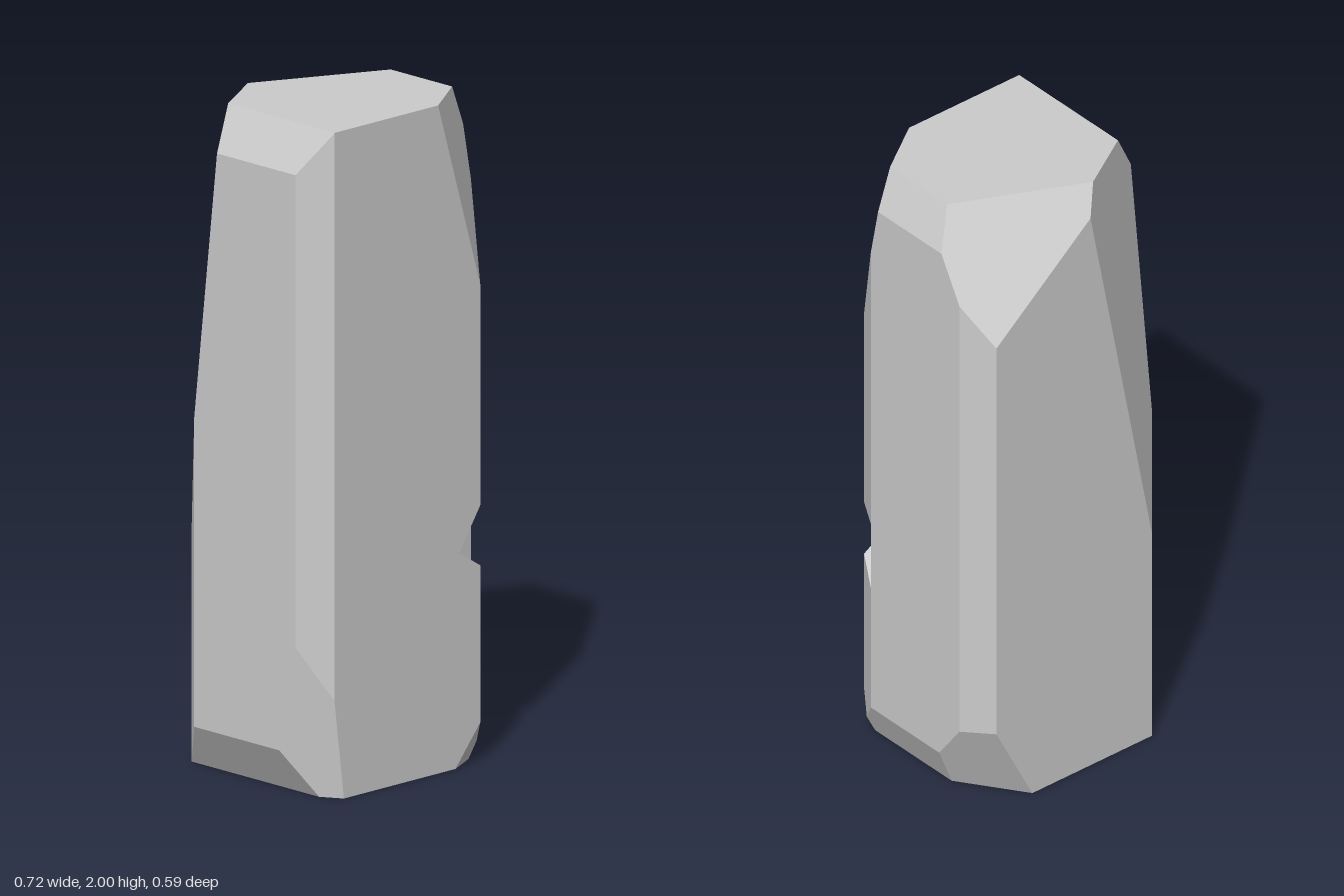
import * as THREE from 'three';

const V = (p) => new THREE.Vector3(...p);

// plane through three points, its normal pointing away from an inner point
function planeOf([a, b, c], inner) {
  const plane = new THREE.Plane().setFromCoplanarPoints(V(a), V(b), V(c));
  return plane.distanceToPoint(inner) > 0 ? plane.negate() : plane;
}

// keep the part of a polygon behind (side 1) or before (side -1) a plane
function clip(poly, plane, side = 1) {
  const out = [];
  poly.forEach((p, i) => {
    const q = poly[(i + 1) % poly.length];
    const dp = side * plane.distanceToPoint(p), dq = side * plane.distanceToPoint(q);
    if (dp <= 0) out.push(p);
    if ((dp < 0 && dq > 0) || (dp > 0 && dq < 0)) out.push(p.clone().lerp(q, dp / (dp - dq)));
  });
  return out.length > 2 ? out : [];
}

const clipAll = (poly, planes) => planes.reduce((p, pl) => clip(p, pl), poly);

// large square lying in a plane, counter-clockwise about its normal
function sheet(plane) {
  const n = plane.normal;
  const u = new THREE.Vector3(0, 1, 0);
  if (Math.abs(n.y) > 0.9) u.set(1, 0, 0);
  u.cross(n).normalize();
  const v = n.clone().cross(u);
  const o = n.clone().multiplyScalar(-plane.constant);
  return [[-9, -9], [9, -9], [9, 9], [-9, 9]].map(([s, t]) =>
    o.clone().addScaledVector(u, s).addScaledVector(v, t));
}

function facetMesh(name, polys, material) {
  const pos = [];
  for (const p of polys)
    for (let i = 1; i < p.length - 1; i++)
      for (const v of [p[0], p[i], p[i + 1]]) pos.push(v.x, v.y, v.z);
  const geo = new THREE.BufferGeometry();
  geo.setAttribute('position', new THREE.Float32BufferAttribute(pos, 3));
  geo.computeVertexNormals();
  const mesh = new THREE.Mesh(geo, material);
  mesh.name = name;
  return mesh;
}

export function createModel() {
  const group = new THREE.Group();
  group.name = 'chiselledStone';
  const material = new THREE.MeshStandardMaterial({ color: 0xcccccc, flatShading: true });
  const core = new THREE.Vector3(0, 1, 0);

  // upright walls and corner chamfers, from the plan outline
  const plan = [
    [-0.288, -0.294], [0.3, -0.294], [0.358, -0.198], [0.358, 0.196],
    [0.3, 0.294], [-0.288, 0.294], [-0.36, 0.207], [-0.36, -0.21],
  ];
  const cuts = plan.map(([x, z], i) => {
    const [x2, z2] = plan[(i + 1) % plan.length];
    return [[x, 0, z], [x2, 0, z2], [x, 1, z]];
  });

  cuts.push(
    // top and base
    [[0, 2, 0], [1, 2, 0], [0, 2, 1]],
    [[0, 0, 0], [1, 0, 0], [0, 0, 1]],
    // side bevels at top and base
    [[-0.36, 1.87, 0], [-0.287, 2, 0], [-0.287, 2, 0.1]],
    [[0.358, 1.875, 0], [0.3, 2, 0], [0.3, 2, 0.1]],
    [[-0.36, 0.135, 0], [-0.288, 0, 0], [-0.288, 0, 0.1]],
    [[0.358, 0.13, 0], [0.3, 0, 0], [0.3, 0, 0.1]],
    // corner cuts at the top: front, back, long back
    [[0.13, 2, 0.294], [0.3, 2, 0.178], [0.3, 1.43, 0.294]],
    [[-0.095, 2, -0.26], [0.3, 2, -0.075], [0.3, 1.61, -0.294]],
    [[-0.287, 2, -0.145], [-0.095, 2, -0.26], [-0.288, 0.71, -0.294]],
    // corner cuts at the base
    [[0.2, 0, 0.294], [0.3, 0.12, 0.294], [0.3, 0, 0.245]],
    [[-0.25, 0, 0.294], [-0.288, 0.3, 0.294], [-0.36, 0.455, 0.207]],
    [[0.3, 0, -0.095], [0.358, 0.25, -0.198], [0.3, 0.265, -0.294]],
  );
  const body = cuts.map((c) => planeOf(c, core));

  // notch in the front left edge: ceiling, floor and back wall
  const tip = [0.215, 0.643, 0.294];
  const notch = [
    [[0.3, 0.77, 0.294], [0.358, 0.77, 0.196], tip],
    [[0.3, 0.59, 0.294], [0.358, 0.547, 0.196], tip],
    [[0.358, 0.77, 0.196], [0.358, 0.547, 0.196], [0.24, 0.637, 0.207]],
  ].map((c) => planeOf(c, new THREE.Vector3(0.31, 0.66, 0.25)));

  // outer facets, leaving out what the notch removes
  const facets = [];
  for (const plane of body) {
    let poly = clipAll(sheet(plane), body.filter((p) => p !== plane));
    if (!clipAll(poly, notch).length) {
      facets.push(poly);
      continue;
    }
    for (const cut of notch) {
      facets.push(clip(poly, cut, -1));
      poly = clip(poly, cut);
    }
  }
  group.add(facetMesh('stoneBody', facets, material));

  // notch walls, facing into the gap
  const walls = notch.map((plane) =>
    clipAll(sheet(plane), [...body, ...notch.filter((p) => p !== plane)]).reverse());
  group.add(facetMesh('edgeNotch', walls, material));

  return group;
}
